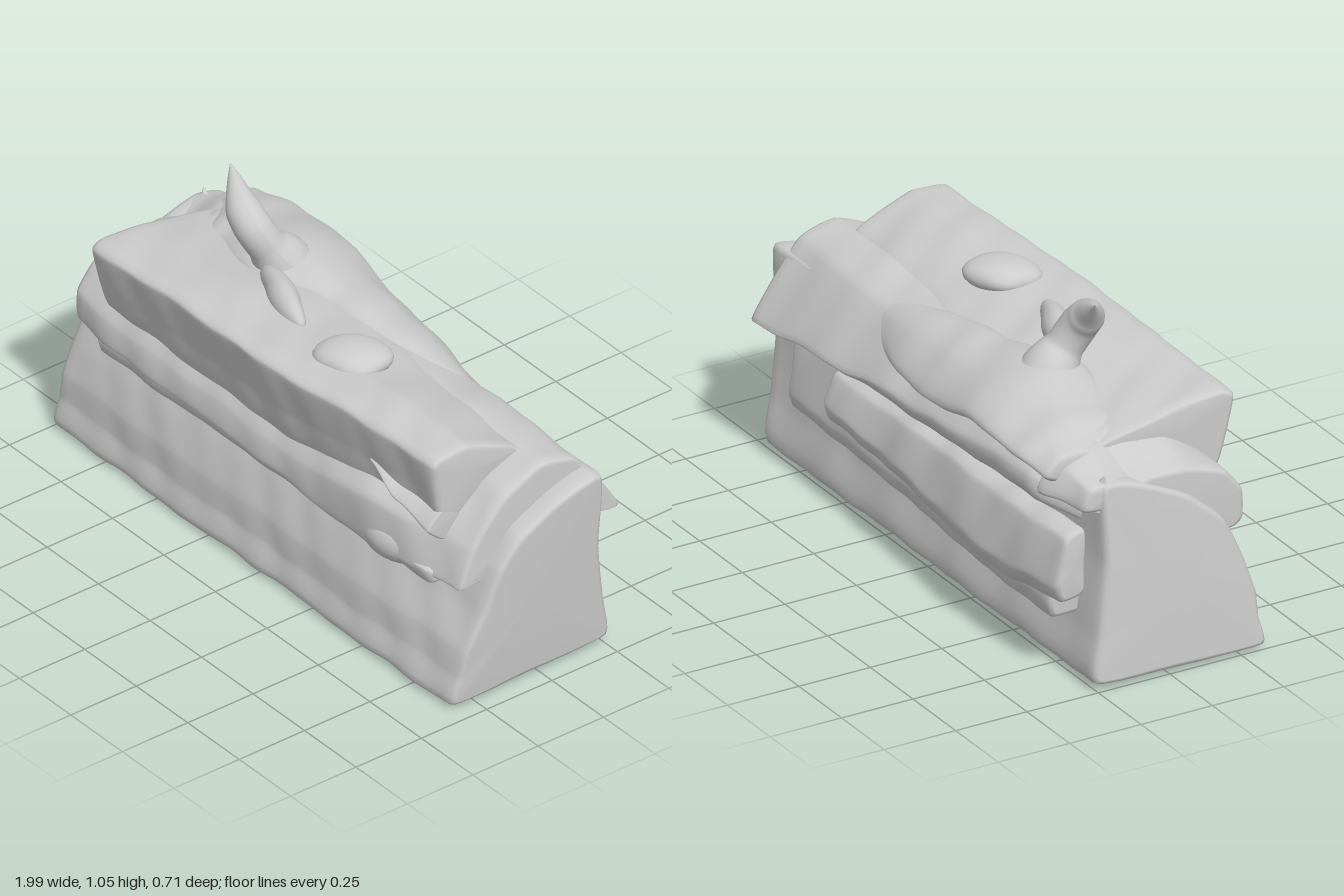
import * as THREE from 'three';

const mat = new THREE.MeshStandardMaterial({ color: 0xcccccc, side: THREE.DoubleSide });

// Gentle carved unevenness
const wobble = (x, y, z) =>
  Math.sin(x * 7 + y * 5 + z * 4) * 0.4 + Math.sin(x * 16 - y * 11 + z * 9 + 1) * 0.3 + Math.sin(x * 29 + y * 17 - z * 23) * Math.sin(x * 5 + 2) * 0.4;

// Solid lofted along x. Each section is { x, p: [[z, y], ...] }; all have the same point count.
// Ends are slightly rounded and capped; shear leans the ends along x with height.
function loft(name, sections, { rough = 0.006, shear = 0, bevel = 0.02, tension = 0.25, sides = 64 } = {}) {
  const outline = (p) => {
    const c = new THREE.CatmullRomCurve3(p.map(([z, y]) => new THREE.Vector3(0, y, z)), true, 'catmullrom', tension);
    return Array.from({ length: sides }, (_, i) => c.getPoint(i / sides));
  };
  const rings = sections.map((s) => ({ x: s.x, pts: outline(s.p) }));
  const x0 = rings[0].x, x1 = rings[rings.length - 1].x;
  const at = (x) => {
    let i = 0;
    while (i < rings.length - 2 && x > rings[i + 1].x) i++;
    const a = rings[i], b = rings[i + 1];
    const t = THREE.MathUtils.smoothstep(x, a.x, b.x);
    return a.pts.map((v, k) => v.clone().lerp(b.pts[k], t));
  };
  const stations = [[x0, 1], [x0 + bevel * 0.3, 0.35], [x0 + bevel, 0]];
  const n = Math.max(4, Math.round((x1 - x0) * 36));
  for (let i = 1; i < n; i++) stations.push([THREE.MathUtils.lerp(x0 + bevel, x1 - bevel, i / n), 0]);
  stations.push([x1 - bevel, 0], [x1 - bevel * 0.3, 0.35], [x1, 1]);

  const pos = [], idx = [], centres = [];
  const put = (x, v) => {
    const w = wobble(x, v.y, v.z) * rough;
    pos.push(x + shear * (v.y - 0.35) + w * 0.4, v.y + w, v.z + wobble(x + 3, v.y, v.z) * rough);
  };
  for (const [x, inset] of stations) {
    const pts = at(x);
    const mid = pts.reduce((m, v) => m.add(v), new THREE.Vector3()).divideScalar(sides);
    centres.push([x, mid]);
    for (const v of pts) {
      const d = mid.clone().sub(v);
      put(x, v.addScaledVector(d.normalize(), inset * bevel));
    }
  }
  // Side faces
  const S = stations.length;
  for (let r = 0; r < S - 1; r++) for (let k = 0; k < sides; k++) {
    const a = r * sides + k, b = r * sides + ((k + 1) % sides);
    idx.push(a, b, a + sides, b, b + sides, a + sides);
  }
  // End caps
  for (const r of [0, S - 1]) {
    const c = pos.length / 3;
    put(...centres[r]);
    for (let k = 0; k < sides; k++) {
      const a = r * sides + k, b = r * sides + ((k + 1) % sides);
      r ? idx.push(c, a, b) : idx.push(c, b, a);
    }
  }
  // Turn all faces outward
  let vol = 0;
  const P = (i) => new THREE.Vector3().fromArray(pos, i * 3);
  for (let i = 0; i < idx.length; i += 3) vol += P(idx[i]).dot(P(idx[i + 1]).cross(P(idx[i + 2])));
  if (vol < 0) idx.reverse();
  const g = new THREE.BufferGeometry();
  g.setAttribute('position', new THREE.Float32BufferAttribute(pos, 3));
  g.setIndex(idx);
  g.computeVertexNormals();
  const m = new THREE.Mesh(g, mat);
  m.name = name;
  return m;
}

// Tapered round limb through [x, y, z, radius] points
function limb(name, nodes) {
  const curve = new THREE.CatmullRomCurve3(nodes.map(([x, y, z]) => new THREE.Vector3(x, y, z)));
  const steps = 30, sides = 24;
  const g = new THREE.TubeGeometry(curve, steps, 1, sides, false);
  const p = g.attributes.position, v = new THREE.Vector3();
  for (let i = 0; i < p.count; i++) {
    const u = Math.floor(i / (sides + 1)) / steps, c = curve.getPointAt(u);
    const f = curve.getUtoTmapping(u) * (nodes.length - 1), k = Math.min(Math.floor(f), nodes.length - 2);
    const r = THREE.MathUtils.lerp(nodes[k][3], nodes[k + 1][3], f - k);
    v.fromBufferAttribute(p, i).sub(c).multiplyScalar(r).add(c);
    p.setXYZ(i, v.x, v.y, v.z);
  }
  g.computeVertexNormals();
  const m = new THREE.Mesh(g, mat);
  m.name = name;
  return m;
}

// Uneven rounded lump
function knot(name, [x, y, z], [sx, sy, sz], tilt = 0) {
  const g = new THREE.SphereGeometry(1, 32, 20), p = g.attributes.position;
  for (let i = 0; i < p.count; i++) {
    const k = 1 + 0.12 * Math.sin(p.getX(i) * 3 + p.getZ(i) * 2 + x * 9);
    p.setXYZ(i, p.getX(i) * k, p.getY(i), p.getZ(i) * k);
  }
  g.computeVertexNormals();
  const m = new THREE.Mesh(g, mat);
  m.position.set(x, y, z);
  m.scale.set(sx, sy, sz);
  m.rotation.y = tilt;
  m.name = name;
  return m;
}

export function createModel() {
  const log = new THREE.Group();
  log.name = 'splitLog';

  // Heartwood with a rounded, bulging front and flat back
  const core = (bulge) => [[0.335, 0.015], [0.315 + bulge * 0.3, 0.11], [0.295 + bulge * 0.7, 0.2], [0.24 + bulge * 1.4, 0.31], [0.185 + bulge, 0.46],
    [0.1, 0.56], [-0.04, 0.63], [-0.2, 0.66], [-0.21, 0.4], [-0.24, 0.18], [-0.255, 0.03], [0.05, 0.018]];
  log.add(loft('heartwood', [{ x: -0.98, p: core(0.03) }, { x: 0.3, p: core(0.025) }, { x: 0.97, p: core(0) }], { shear: 0.07, bevel: 0.022 }));

  // Arched bark layer with a rolled front edge, swelling toward the knot
  log.add(loft('barkShell', [
    { x: -0.94, p: [[0.26, 0.4], [0.3, 0.43], [0.3, 0.52], [0.24, 0.6], [0.1, 0.65], [-0.03, 0.65], [-0.1, 0.62], [-0.12, 0.55], [-0.1, 0.45], [0, 0.4]] },
    { x: -0.72, p: [[0.26, 0.39], [0.32, 0.42], [0.305, 0.5], [0.22, 0.62], [0.1, 0.71], [-0.05, 0.74], [-0.2, 0.73], [-0.32, 0.64], [-0.31, 0.56], [0, 0.4]] },
    { x: 0.1, p: [[0.26, 0.38], [0.325, 0.405], [0.31, 0.49], [0.22, 0.62], [0.1, 0.71], [-0.05, 0.75], [-0.19, 0.7], [-0.31, 0.56], [-0.28, 0.5], [0, 0.4]] },
    { x: 0.52, p: [[0.27, 0.36], [0.335, 0.4], [0.33, 0.55], [0.22, 0.64], [0.1, 0.71], [-0.05, 0.745], [-0.18, 0.7], [-0.32, 0.51], [-0.25, 0.48], [0, 0.4]] },
    { x: 0.92, p: [[0.26, 0.4], [0.29, 0.405], [0.24, 0.53], [0.19, 0.6], [0.11, 0.68], [-0.03, 0.738], [-0.16, 0.7], [-0.325, 0.465], [-0.23, 0.47], [0, 0.42]] },
  ]));
  const under = [[0.22, 0.37], [0.3, 0.37], [0.31, 0.42], [0.22, 0.44]];
  log.add(loft('underBarkStrip', [{ x: -0.82, p: under }, { x: 0.8, p: under }], { sides: 20, rough: 0.005 }));

  // Overhanging outer bark slab on the front
  log.add(loft('outerBarkSlab', [
    { x: -0.8, p: [[0.35, 0.765], [0.31, 0.79], [0.15, 0.78], [0, 0.75], [-0.13, 0.71], [0, 0.6], [0.27, 0.53], [0.32, 0.63]] },
    { x: -0.1, p: [[0.345, 0.785], [0.3, 0.81], [0.17, 0.81], [0.05, 0.79], [-0.1, 0.74], [0, 0.6], [0.27, 0.5], [0.31, 0.63]] },
    { x: 0.81, p: [[0.305, 0.795], [0.28, 0.82], [0.17, 0.83], [0.07, 0.79], [-0.03, 0.73], [0.08, 0.66], [0.26, 0.57], [0.29, 0.68]] },
  ]));

  // Torn bark rising into the branch stub and sinking into the bark beyond it
  log.add(loft('branchMantle', [
    { x: -0.82, p: [[-0.14, 0.7], [-0.21, 0.73], [-0.28, 0.72], [-0.32, 0.66], [-0.2, 0.62]] },
    { x: -0.66, p: [[0, 0.73], [-0.14, 0.775], [-0.26, 0.75], [-0.345, 0.69], [-0.18, 0.62]] },
    { x: -0.4, p: [[0.06, 0.765], [-0.08, 0.82], [-0.24, 0.775], [-0.34, 0.69], [-0.15, 0.62]] },
    { x: -0.1, p: [[-0.03, 0.745], [-0.1, 0.78], [-0.22, 0.735], [-0.31, 0.62], [-0.15, 0.6]] },
    { x: 0.58, p: [[-0.13, 0.695], [-0.17, 0.695], [-0.19, 0.67], [-0.2, 0.62], [-0.16, 0.6]] },
  ], { tension: 0.45, sides: 40 }));
  log.add(limb('branchStub', [
    [-0.38, 0.72, -0.07, 0.11], [-0.38, 0.79, -0.04, 0.09], [-0.385, 0.85, 0, 0.06], [-0.41, 0.92, 0.035, 0.06],
    [-0.45, 0.965, 0.04, 0.055], [-0.51, 1.015, 0.02, 0.028], [-0.56, 1.052, 0, 0.003],
  ]));

  // Bark knots
  log.add(knot('topKnotLeft', [-0.19, 0.8, 0.09], [0.15, 0.055, 0.045], -0.3));
  log.add(knot('topKnotRight', [0.2, 0.81, 0.13], [0.12, 0.05, 0.105]));
  log.add(knot('frontKnot', [0.54, 0.425, 0.25], [0.16, 0.09, 0.088]));

  // Wedge-shaped splinter on the front bark
  log.add(loft('frontSplinter', [
    { x: 0.49, p: [[0.3, 0.665], [0.29, 0.675], [0.28, 0.665], [0.29, 0.655]] },
    { x: 0.65, p: [[0.32, 0.605], [0.28, 0.63], [0.22, 0.61], [0.26, 0.575]] },
    { x: 0.81, p: [[0.325, 0.58], [0.27, 0.635], [0.2, 0.6], [0.26, 0.525]] },
  ], { sides: 24, rough: 0.004, bevel: 0.008 }));

  // Back bark slabs, one over the other
  log.add(loft('backSlabInner', [
    { x: -0.85, p: [[-0.18, 0.22], [-0.31, 0.2], [-0.33, 0.26], [-0.3, 0.42], [-0.18, 0.47]] },
    { x: 0.81, p: [[-0.18, 0.21], [-0.25, 0.21], [-0.265, 0.26], [-0.23, 0.44], [-0.18, 0.47]] },
  ], { sides: 40 }));
  log.add(loft('backSlabOuter', [
    { x: -0.91, p: [[-0.24, 0.3], [-0.32, 0.28], [-0.345, 0.34], [-0.31, 0.49], [-0.24, 0.51]] },
    { x: -0.6, p: [[-0.24, 0.27], [-0.33, 0.25], [-0.355, 0.31], [-0.31, 0.48], [-0.24, 0.5]] },
    { x: 0.55, p: [[-0.2, 0.31], [-0.28, 0.29], [-0.3, 0.34], [-0.26, 0.43], [-0.2, 0.45]] },
  ], { sides: 40, rough: 0.009 }));

  // Ragged bark at the right end
  log.add(loft('tornBarkEnd', [
    { x: -0.95, p: [[-0.09, 0.63], [-0.17, 0.665], [-0.24, 0.65], [-0.26, 0.58], [-0.12, 0.56]] },
    { x: -0.74, p: [[-0.03, 0.7], [-0.16, 0.735], [-0.27, 0.7], [-0.32, 0.6], [-0.1, 0.56]] },
  ], { sides: 30, rough: 0.012 }));
  const spike = new THREE.Mesh(new THREE.ConeGeometry(0.05, 0.11, 16), mat);
  spike.position.set(-0.915, 0.64, -0.19);
  spike.rotation.z = 0.35;
  spike.name = 'barkSpike';
  log.add(spike);

  return log;
}
